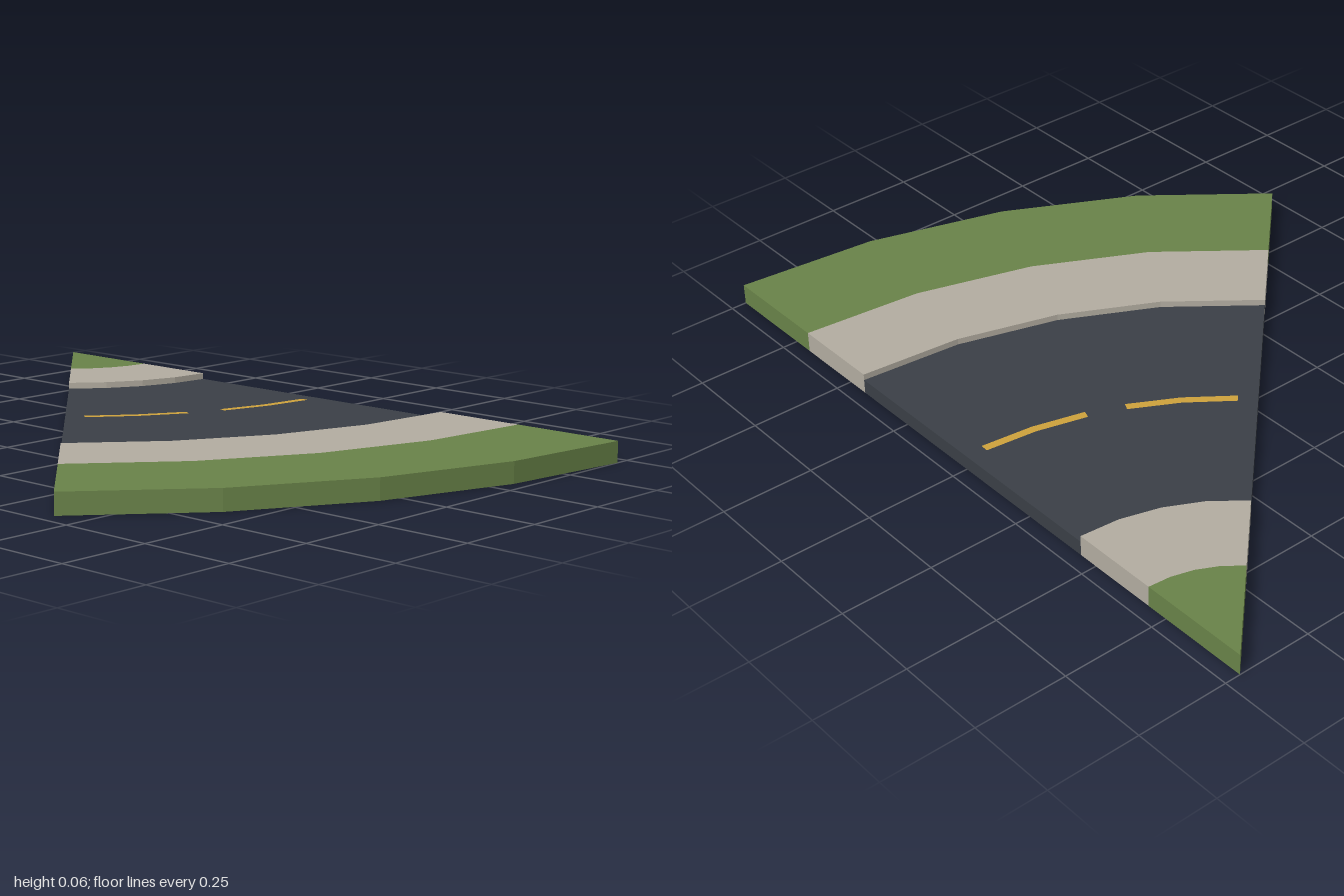
import * as THREE from 'three';

const ANGLE = Math.PI / 4;   // the bend turns 45 degrees
const TOP = 0.057;           // kerb and verge height
const ROAD = 0.04;           // road height

function material(name, color) {
  const m = new THREE.MeshStandardMaterial({ color, side: THREE.DoubleSide, flatShading: true });
  m.name = name;
  return m;
}

export function createModel() {
  const grass = material('grass green', 0x6a8449);
  const stone = material('pavement stone', 0xb4aea2);
  const asphalt = material('asphalt', 0x3b4047);
  const paint = material('line yellow', 0xcfa33c);

  const model = new THREE.Group();
  model.name = 'roadBend';

  // Sweeps [radius, height] points between two angles measured from +x towards +z
  function sweep(name, points, mat, from = 0, to = ANGLE, segments = 4) {
    const profile = points.map(([r, y]) => new THREE.Vector2(r, y));
    const geometry = new THREE.LatheGeometry(profile, segments, Math.PI / 2 - to, to - from);
    const mesh = new THREE.Mesh(geometry, mat);
    mesh.name = name;
    return mesh;
  }

  // Vertical plates closing both cut ends of a band
  function ends(name, r0, r1, height, mat) {
    return [0, ANGLE].map((angle, i) => {
      const mesh = new THREE.Mesh(new THREE.PlaneGeometry(r1 - r0, height), mat);
      const r = (r0 + r1) / 2;
      mesh.position.set(r * Math.cos(angle), height / 2, r * Math.sin(angle));
      mesh.rotation.y = i === 0 ? Math.PI : -angle;
      mesh.name = name + (i === 0 ? 'BackEnd' : 'FrontEnd');
      return mesh;
    });
  }

  // Concentric bands; the underside is open
  const bands = [
    ['innerVerge', 0, 0.31, TOP, grass, [[0.31, TOP], [0, TOP]]],
    ['innerPavement', 0.31, 0.555, TOP, stone, [[0.555, ROAD], [0.555, TOP], [0.31, TOP]]],
    ['road', 0.555, 1.435, ROAD, asphalt, [[1.435, ROAD], [0.555, ROAD]]],
    ['outerPavement', 1.435, 1.69, TOP, stone, [[1.69, TOP], [1.435, TOP], [1.435, ROAD]]],
    ['outerVerge', 1.69, 2, TOP, grass, [[2, 0], [2, TOP], [1.69, TOP]]],
  ];
  for (const [name, r0, r1, height, mat, profile] of bands) {
    const band = new THREE.Group();
    band.name = name;
    band.add(sweep(name + 'Surface', profile, mat), ...ends(name, r0, r1, height, mat));
    model.add(band);
  }

  // Two dashes of the centre line
  for (const [from, to] of [[3, 19.5], [25.5, 42]]) {
    model.add(sweep('centreDash', [[1.008, ROAD + 0.002], [0.985, ROAD + 0.002]], paint,
      THREE.MathUtils.degToRad(from), THREE.MathUtils.degToRad(to), 2));
  }

  // The centre of the bend sits at the back right corner
  for (const part of model.children) part.position.set(-1, 0, -Math.SQRT1_2);
  return model;
}
